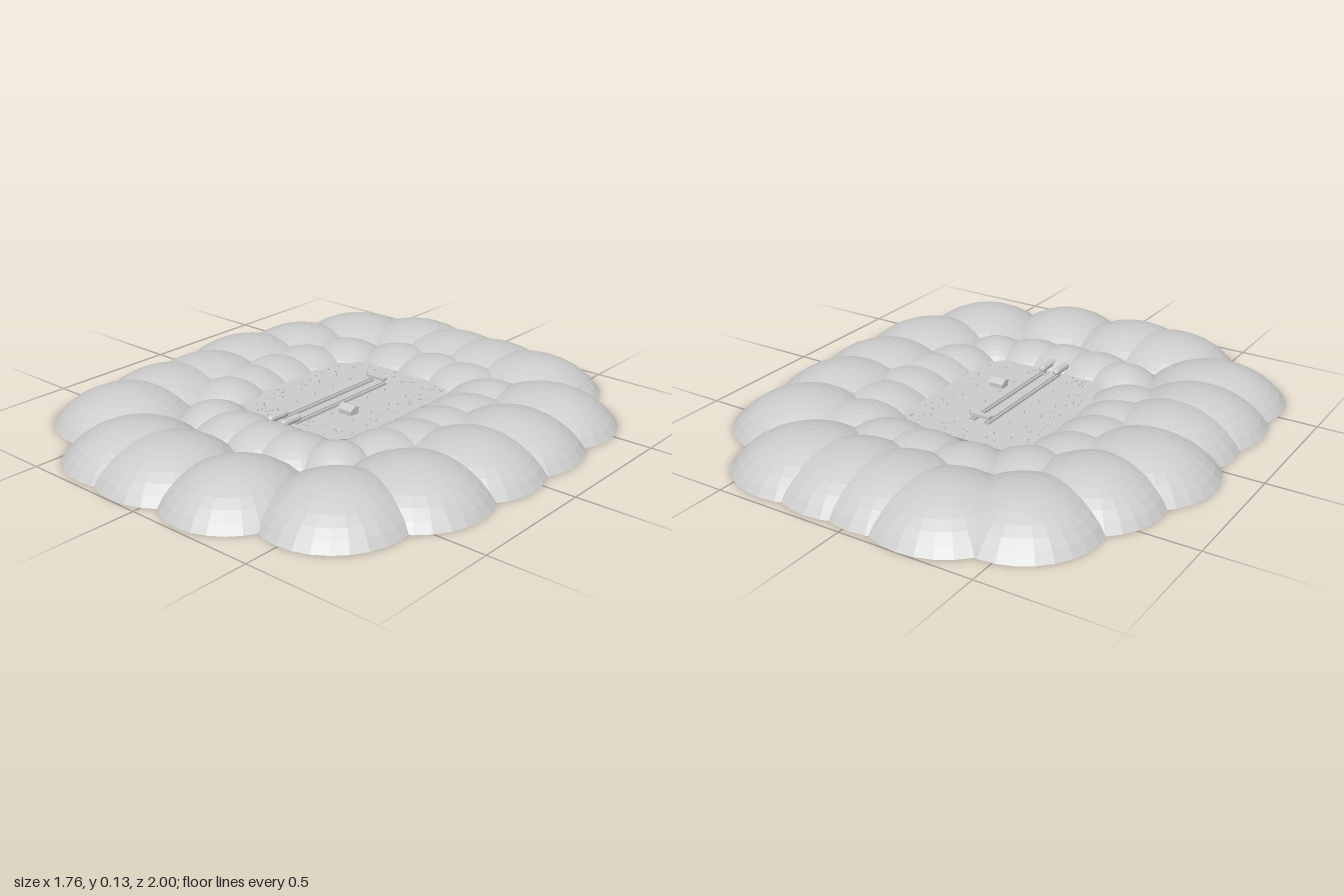
import * as THREE from 'three';

const grey = new THREE.MeshStandardMaterial({ color: 0xcccccc, flatShading: true, side: THREE.DoubleSide });
const FLOOR_Y = 0.064;

// Open cap of a sphere, scaled to base radius 1 and height 1
const CUT = Math.PI * 0.33;
const capGeometry = new THREE.SphereGeometry(1, 28, 7, 0, Math.PI * 2, 0, CUT);
capGeometry.translate(0, -Math.cos(CUT), 0);
capGeometry.scale(1 / Math.sin(CUT), 1 / (1 - Math.cos(CUT)), 1 / Math.sin(CUT));

function add(parent, name, geometry, x, y, z) {
  const mesh = new THREE.Mesh(geometry, grey);
  mesh.name = name;
  mesh.position.set(x, y, z);
  parent.add(mesh);
  return mesh;
}

function hills(name, list, height) {
  const ring = new THREE.Group();
  ring.name = name;
  for (const [x, z, rx, rz = rx] of list) {
    add(ring, 'hill', capGeometry, x, 0, z).scale.set(rx, height, rz);
  }
  return ring;
}

// Centre x, centre z, radius in x, radius in z
const OUTER = [
  [-0.22, -0.73, 0.28, 0.27], [-0.02, -0.71, 0.28, 0.27], [0.16, -0.71, 0.28, 0.27], [0.36, -0.70, 0.28, 0.27],
  [0.58, -0.46, 0.275, 0.27], [0.61, -0.19, 0.27], [0.61, 0.05, 0.27], [0.59, 0.33, 0.275],
  [0.49, 0.59, 0.265, 0.275], [0.18, 0.72, 0.25, 0.265], [-0.12, 0.73, 0.27, 0.265], [-0.30, 0.715, 0.265],
  [-0.57, 0.53, 0.28, 0.27], [-0.60, 0.30, 0.27], [-0.58, 0.11, 0.265], [-0.61, -0.14, 0.275],
  [-0.55, -0.38, 0.26], [-0.45, -0.63, 0.27],
];
const INNER = [
  [-0.13, -0.50, 0.20], [0.05, -0.50, 0.20], [0.20, -0.49, 0.20], [0.37, -0.41, 0.20],
  [0.40, -0.24, 0.21], [0.40, -0.08, 0.21], [0.40, 0.07, 0.21], [0.37, 0.20, 0.19],
  [0.30, 0.37, 0.16], [0.15, 0.41, 0.18], [0.02, 0.42, 0.19], [-0.12, 0.42, 0.19], [-0.26, 0.39, 0.17],
  [-0.38, 0.21, 0.19], [-0.41, 0.07, 0.20], [-0.41, -0.08, 0.20], [-0.40, -0.24, 0.20], [-0.33, -0.41, 0.20],
];

export function createModel() {
  const model = new THREE.Group();
  model.name = 'valley';
  model.add(hills('outerHills', OUTER, 0.129), hills('innerHills', INNER, 0.108));

  // Everything on the raised valley floor
  const site = new THREE.Group();
  site.name = 'site';
  site.position.y = FLOOR_Y;
  model.add(site);

  // Flat floor with cut corners
  const corners = [[0.2, -0.37], [0.26, -0.3], [0.26, 0.22], [0.2, 0.29], [-0.22, 0.29], [-0.28, 0.22], [-0.28, -0.3], [-0.22, -0.37]];
  const outline = new THREE.Shape(corners.map(([x, z]) => new THREE.Vector2(x, -z)));
  add(site, 'floor', new THREE.ShapeGeometry(outline), 0, 0, 0).rotation.x = -Math.PI / 2;

  // Pair of long raised rails with rounded ends, closed by a cross beam
  const track = new THREE.Group();
  track.name = 'track';
  for (const x of [-0.045, 0.016]) {
    add(track, 'rail', new THREE.BoxGeometry(0.022, 0.01, 0.5), x, 0.005, 0.02);
    add(track, 'railRidge', new THREE.BoxGeometry(0.009, 0.006, 0.5), x, 0.012, 0.02);
    const end = add(track, 'railEnd', new THREE.CapsuleGeometry(0.014, 0.07, 4, 10), x, 0.02, 0.29);
    end.rotation.x = Math.PI / 2;
    add(track, 'post', new THREE.BoxGeometry(0.01, 0.025, 0.01), x, 0.0125, -0.222);
  }
  add(track, 'crossBeam', new THREE.BoxGeometry(0.085, 0.01, 0.022), -0.0145, 0.025, -0.222);
  site.add(track);

  // Small hut with a pitched roof
  const hut = new THREE.Group();
  hut.name = 'hut';
  add(hut, 'walls', new THREE.BoxGeometry(0.056, 0.02, 0.042), 0, 0.01, 0);
  const gable = new THREE.Shape([[-0.027, 0], [0.027, 0], [0, 0.014]].map(p => new THREE.Vector2(...p)));
  const roofGeometry = new THREE.ExtrudeGeometry(gable, { depth: 0.064, bevelEnabled: false });
  roofGeometry.translate(0, 0, -0.032);
  add(hut, 'roof', roofGeometry, 0, 0.02, 0).rotation.y = Math.PI / 2;
  hut.position.set(0.095, 0, 0.068);
  site.add(hut);

  // Rows of thin stakes driven through the floor
  const stakes = new THREE.Group();
  stakes.name = 'stakes';
  const stakeGeometry = new THREE.BoxGeometry(0.003, 0.028, 0.003);
  for (const x of [-0.18, -0.11, 0.06, 0.16]) {
    for (let z = -0.28; z < 0.25; z += 0.1) add(stakes, 'stake', stakeGeometry, x, -0.004, z);
  }
  site.add(stakes);

  // Tiny stones scattered along the rim of the floor
  let seed = 7;
  const random = () => (seed = (seed * 16807) % 2147483647) / 2147483647;
  const stones = new THREE.Group();
  stones.name = 'stones';
  const stoneGeometry = new THREE.DodecahedronGeometry(1);
  for (let i = 0; i < 110; i++) {
    const a = random() * Math.PI * 2;
    const c = Math.cos(a), s = Math.sin(a);
    const k = (0.8 + random() * 0.22) / Math.max(Math.abs(c), Math.abs(s));
    const size = 0.002 + random() * 0.003;
    add(stones, 'stone', stoneGeometry, -0.01 + c * k * 0.235, size, -0.04 + s * k * 0.31).scale.setScalar(size);
  }
  site.add(stones);
  return model;
}
